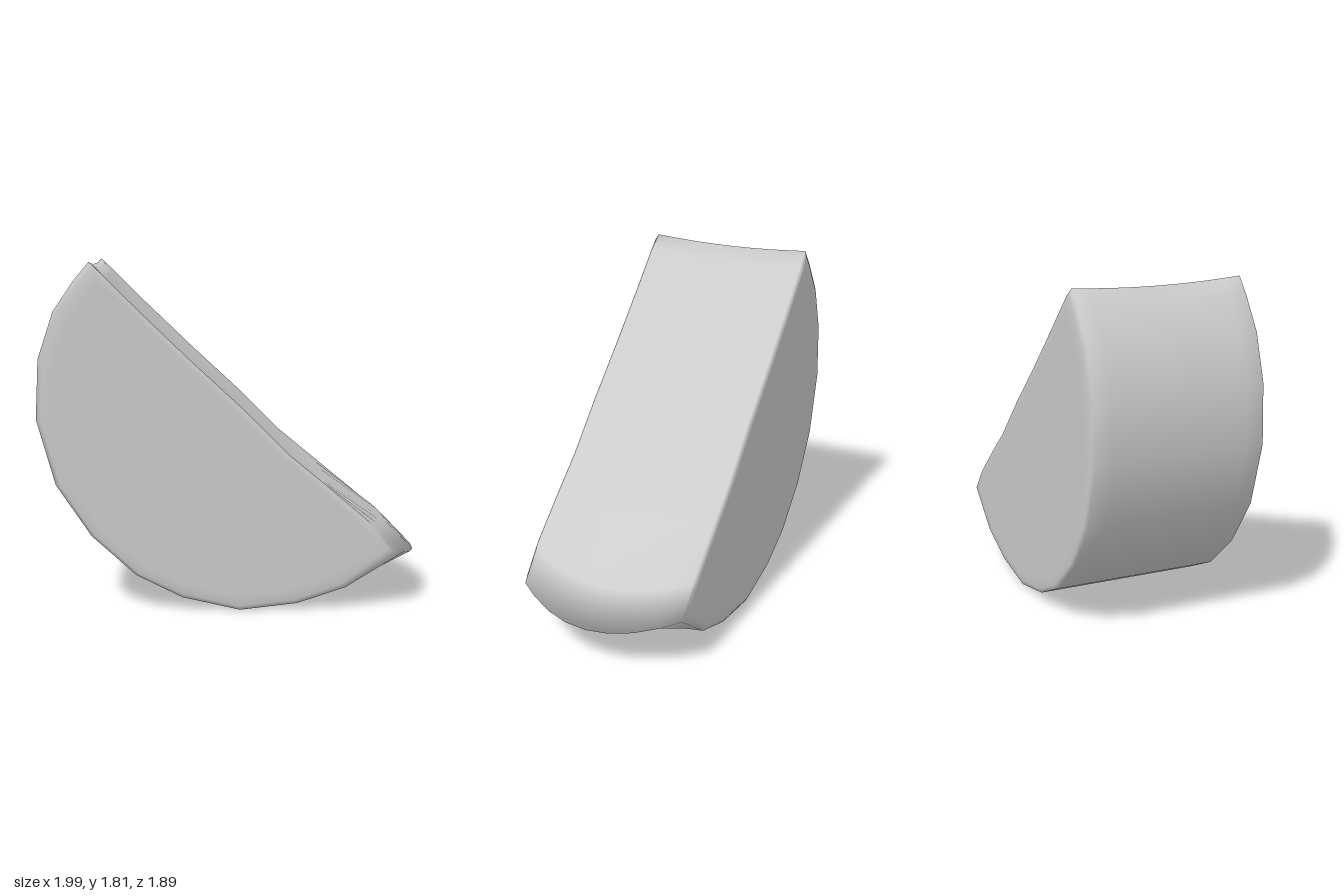
import * as THREE from 'three';

// Half-round profile, counter-clockwise: [along, height, end bulge, hollow of the cut]
const PROFILE = [
  [-0.645, 1.82, 0, 0.02], [-0.72, 1.73, 0, 0], [-0.83, 1.57, 0, 0], [-0.91, 1.33, 0, 0],
  [-0.925, 1.02, 0, 0], [-0.83, 0.68, 0, 0], [-0.65, 0.41, 0, 0], [-0.42, 0.2, 0, 0],
  [-0.18, 0.08, 0, 0], [0.12, 0.01, 0, 0], [0.42, 0.045, 0, 0], [0.67, 0.13, 0.06, 0],
  [0.92, 0.325, 0.17, 0.08], [0.8, 0.47, 0.13, 0.06], [0.56, 0.68, 0.02, 0.04],
  [0.38, 0.83, 0, 0.04], [0.14, 1.07, 0, 0.04], [-0.14, 1.33, 0, 0.04],
  [-0.4, 1.58, 0, 0.04], [-0.58, 1.76, 0, 0.04],
];
const HALF = 0.464;
const CENTRE = [-0.1, 0.8];

function createSlice() {
  // Rings: flat face, slightly softened rim, body, then the same mirrored
  const side = [[-HALF, 0], [-HALF, 0.5], [-HALF, 0.9], [-HALF, 0.97], [-0.45, 1]];
  const body = [-0.36, -0.24, -0.12, 0, 0.12, 0.24, 0.36].map((z) => [z, 1]);
  const rings = [...side, ...body, ...side.map(([z, s]) => [-z, s]).reverse()];
  const n = PROFILE.length;
  const positions = [];
  const index = [];

  rings.forEach(([z, s], i) => {
    const mid = 1 - (z / HALF) ** 2;
    for (const [u, y, bulge, hollow] of PROFILE) {
      const px = u + bulge * mid;
      const py = y - hollow * mid;
      positions.push(
        CENTRE[0] + (px - CENTRE[0]) * s,
        CENTRE[1] + (py - CENTRE[1]) * s,
        z,
      );
    }
    if (i === rings.length - 1) return;
    for (let j = 0; j < n; j++) {
      const k = (j + 1) % n;
      const a = i * n + j, b = i * n + k, c = a + n, d = b + n;
      index.push(a, b, c, b, d, c);
    }
  });

  const geometry = new THREE.BufferGeometry();
  geometry.setAttribute('position', new THREE.Float32BufferAttribute(positions, 3));
  geometry.setIndex(index);
  geometry.computeVertexNormals();
  return geometry;
}

export function createModel() {
  const group = new THREE.Group();
  group.name = 'halfRoundWedge';
  const slice = new THREE.Mesh(
    createSlice(),
    new THREE.MeshStandardMaterial({ color: 0xcccccc }),
  );
  slice.name = 'wedgeBody';
  slice.rotation.y = -0.713;
  group.add(slice);
  return group;
}
